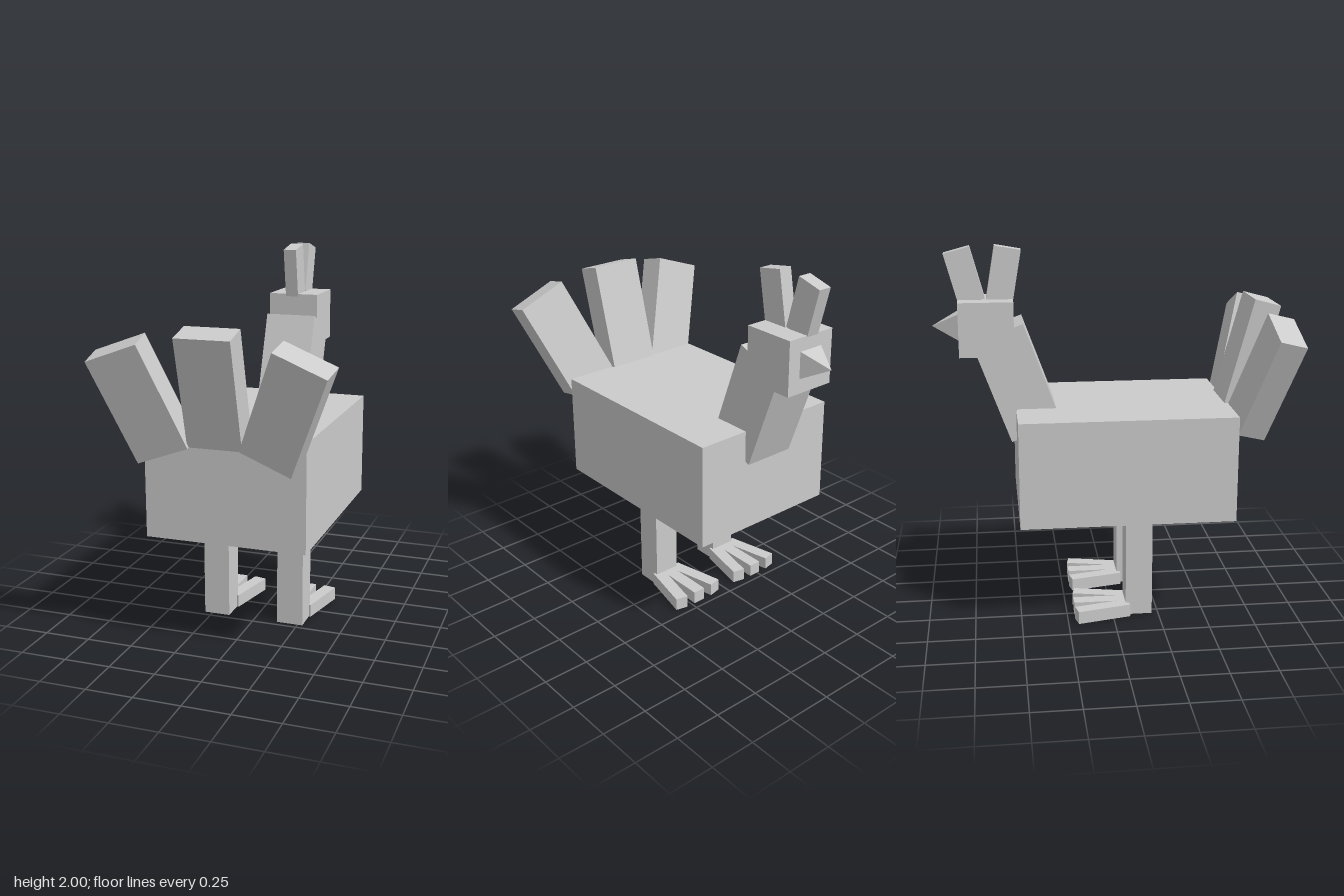
import * as THREE from 'three';

const rad = THREE.MathUtils.degToRad;

export function createModel() {
  const bird = new THREE.Group();
  bird.name = 'bird';
  const material = new THREE.MeshStandardMaterial({ color: 0xcccccc, flatShading: true });

  const add = (name, geometry, position, parent = bird) => {
    const mesh = new THREE.Mesh(geometry, material);
    mesh.name = name;
    mesh.position.set(...position);
    parent.add(mesh);
    return mesh;
  };
  // Box with a forward/backward pitch, then a sideways lean (degrees)
  const box = (name, size, position, pitch = 0, lean = 0) => {
    const mesh = add(name, new THREE.BoxGeometry(...size), position);
    mesh.rotation.set(rad(pitch), 0, rad(lean), 'ZXY');
    return mesh;
  };

  // Body, leaning neck and head (the bird looks along -z)
  box('body', [0.86, 0.57, 1.14], [-0.01, 0.865, 0.07]);
  box('neck', [0.285, 0.573, 0.285], [-0.01, 1.288, -0.49], -20);
  box('head', [0.285, 0.287, 0.287], [-0.01, 1.577, -0.645]);

  // Comb of two spikes
  box('rearComb', [0.073, 0.3, 0.14], [-0.018, 1.84, -0.549], 10);
  box('frontComb', [0.073, 0.28, 0.14], [-0.018, 1.843, -0.751], -15);

  // Beak: square pyramid pointing forward
  const beak = new THREE.ConeGeometry(0.07 * Math.SQRT2, 0.14, 4);
  beak.rotateY(Math.PI / 4).rotateX(-Math.PI / 2);
  add('beak', beak, [-0.01, 1.58, -0.858]);

  // Tail: three feathers fanned out and tipped back
  const feather = [0.285, 0.58, 0.145];
  box('middleTailFeather', feather, [-0.01, 1.413, 0.766], 15);
  box('rightTailFeather', feather, [-0.379, 1.343, 0.785], 15, 20);
  box('leftTailFeather', feather, [0.368, 1.341, 0.785], 15, -22.5);

  // Legs, each with three splayed toes
  const toeLength = 0.295;
  const toeGeometry = new THREE.BoxGeometry(0.07, 0.07, toeLength).translate(0, 0, -toeLength / 2);
  for (const [side, x] of [['right', -0.222], ['left', 0.205]]) {
    box(side + 'Leg', [0.145, 0.58, 0.145], [x, 0.29, 0.143]);
    const foot = new THREE.Group();
    foot.name = side + 'Foot';
    foot.position.set(x - 0.009, 0.035, 0.085);
    bird.add(foot);
    for (const i of [-1, 0, 1]) {
      add('toe', toeGeometry, [i * 0.057, 0, 0], foot).rotation.y = rad(-12.5 * i);
    }
  }
  return bird;
}
